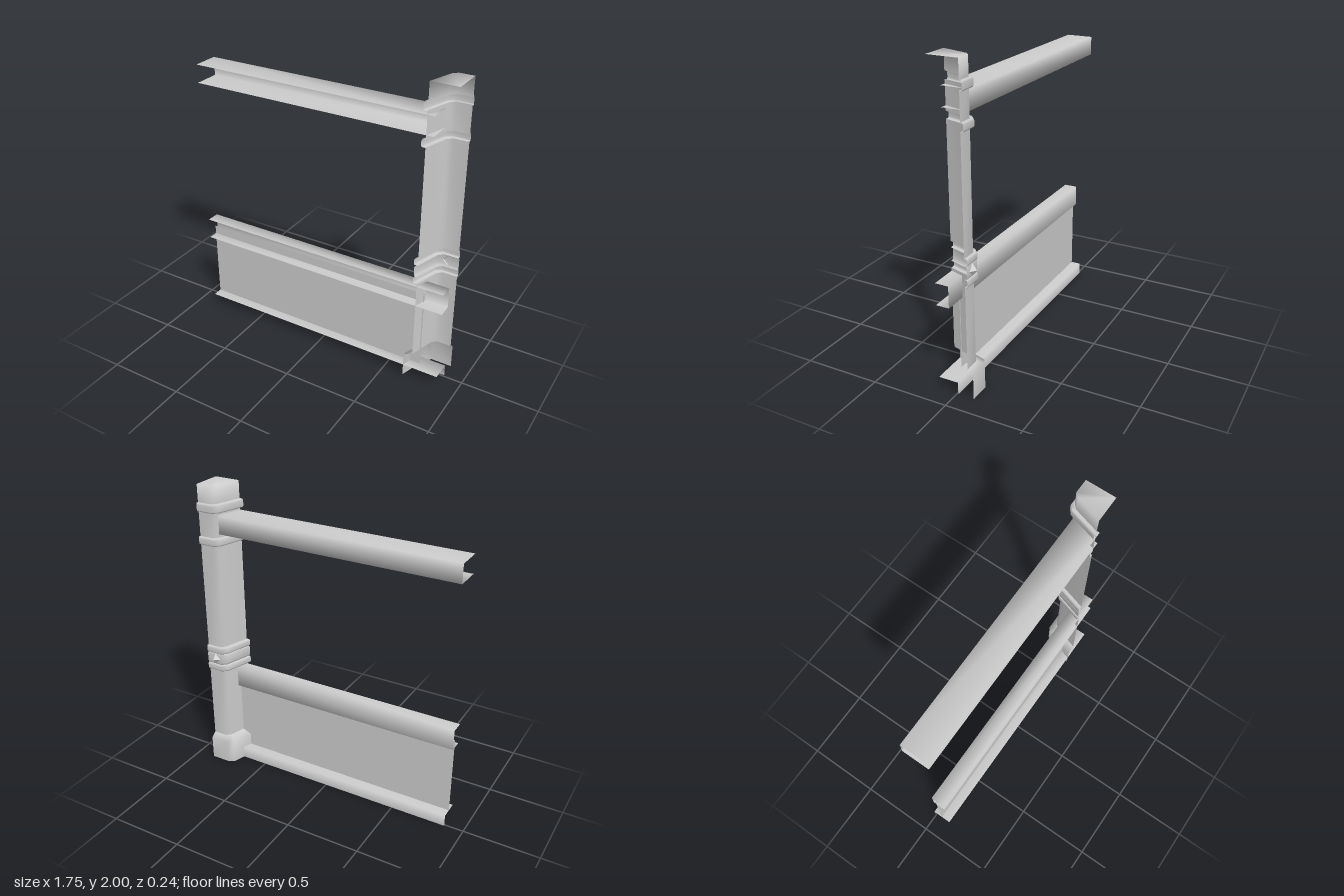
import * as THREE from 'three';

const material = new THREE.MeshStandardMaterial({ color: 0xcccccc, side: THREE.DoubleSide });

// Smooth open surface through rows of points, all rows of equal length
function surface(name, rows) {
  const cols = rows[0].length;
  const index = [];
  for (let r = 0; r < rows.length - 1; r++) {
    for (let c = 0; c < cols - 1; c++) {
      const a = r * cols + c, b = a + cols;
      index.push(a, b, a + 1, b, b + 1, a + 1);
    }
  }
  const geometry = new THREE.BufferGeometry();
  geometry.setAttribute('position', new THREE.Float32BufferAttribute(rows.flat(2), 3));
  geometry.setIndex(index);
  geometry.computeVertexNormals();
  const mesh = new THREE.Mesh(geometry, material);
  mesh.name = name;
  return mesh;
}

// Post plan [x, z]: slim shaft and wide base; t blends between them
const SHAFT = [[0.70, 0.12], [0.752, -0.05], [0.78, -0.078], [0.875, -0.078]];
const BASE = [[0.64, 0.12], [0.705, -0.09], [0.74, -0.115], [0.875, -0.115]];
const section = (y, t) => SHAFT.map(([x, z], i) => [
  x + (BASE[i][0] - x) * t, y, z + (BASE[i][1] - z) * t,
]);
const postPart = (name, profile) => surface(name, profile.map(([y, t]) => section(y, t)));

// Sheet rail: a [z, y] profile running along x
function rail(name, profile, x0, x1) {
  return surface(name, [x1, x0].map((x) => profile.map(([z, y]) => [x, y, z])));
}

export function createModel() {
  const model = new THREE.Group();

  // Post
  const post = new THREE.Group();
  post.name = 'post';
  post.add(postPart('postBase', [[0, 1], [0.165, 1], [0.19, 0]]));
  post.add(postPart('lowerShaft', [[0.19, 0], [0.72, 0]]));
  post.add(postPart('upperShaft', [[0.89, 0], [1.615, 0]]));
  post.add(postPart('neck', [[1.66, 0], [1.835, 0]]));
  const cap = SHAFT.map(() => [0.875, 2, 0.12]);
  post.add(surface('postTop', [section(1.88, 0), section(2, 0), cap]));

  // Collars around the post
  for (const [y0, y1] of [[0.72, 0.765], [0.85, 0.895], [1.615, 1.665], [1.83, 1.885]]) {
    post.add(postPart('collar', [
      [y0, 0], [y0, 0.38], [y0 + 0.008, 0.45], [y1 - 0.012, 0.45], [y1, 0.35], [y1, 0],
    ]));
  }
  post.add(postPart('collarBand', [
    [0.765, 0.2], [0.78, 0.38], [0.835, 0.38], [0.85, 0.2],
  ]));

  // Diamond stud on the outer face of the collar band
  const studMaterial = material.clone();
  studMaterial.flatShading = true;
  const stud = new THREE.Mesh(new THREE.ConeGeometry(0.042, 0.032, 4, 1, true), studMaterial);
  stud.name = 'stud';
  stud.rotation.x = -Math.PI / 2;
  stud.position.set(0.812, 0.807, -0.104);
  post.add(stud);
  model.add(post);

  // Rails, open towards the front
  const channel = (back, y0, y1) => [[0.12, y0], [back, y0], [back, y1], [0.12, y1]];
  model.add(rail('handRail', channel(-0.053, 1.69, 1.81), -0.875, 0.745));
  model.add(rail('middleRail', channel(0.033, 0.56, 0.70), -0.875, 0.875));
  model.add(rail('bottomRail', [[-0.01, 0], [-0.01, 0.08], [0.12, 0.08]], -0.875, 0.875));

  // Flat infill panel
  model.add(rail('panel', [[0.055, 0.08], [0.055, 0.62]], -0.875, 0.728));

  return model;
}
